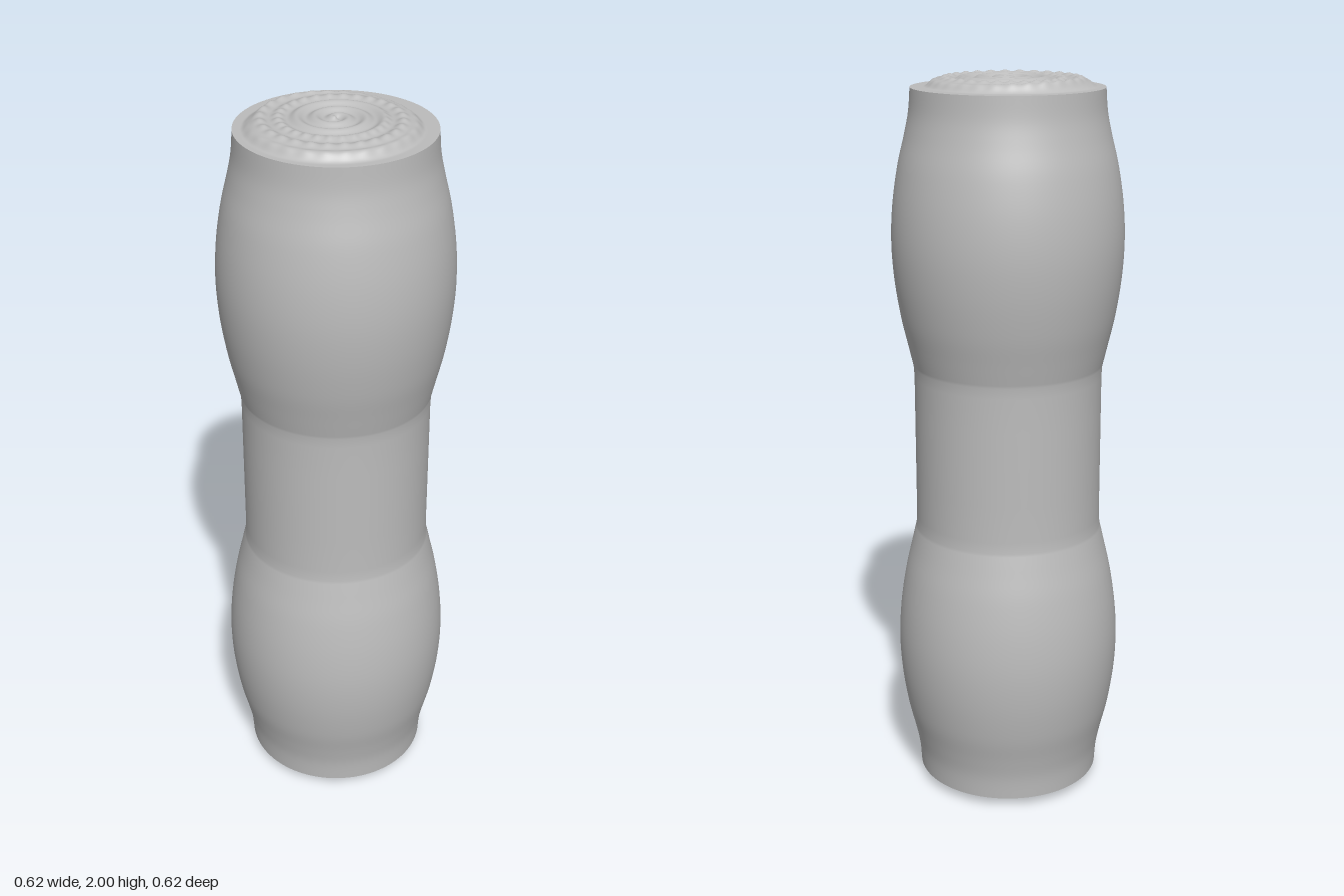
import * as THREE from 'three';
import { mergeVertices } from 'three/addons/utils/BufferGeometryUtils.js';

const RIM = 0.255, RIM_Y = 1.972;

// Height of the carved end at radius r and angle a: a raised disc with a spiral ridge that turns beaded
function reliefHeight(r, a) {
  const pitch = 0.045;
  const edge = 0.205 + 0.012 * Math.sin(a + 0.3);
  const plateau = 1 - THREE.MathUtils.smoothstep(r, edge - 0.012, edge + 0.022);
  const ridge = 0.5 + 0.5 * Math.cos(2 * Math.PI * (r / pitch + 0.2) - a);
  const beaded = THREE.MathUtils.smoothstep(r, 0.115, 0.14);
  const bead = 1 - beaded * (0.25 + 0.25 * Math.cos(28 * a));
  return RIM_Y + plateau * (0.019 + 0.009 * ridge * bead);
}

function carvedEnd() {
  let geo = new THREE.RingGeometry(0, RIM, 224, 72).rotateX(-Math.PI / 2);
  const p = geo.attributes.position;
  for (let i = 0; i < p.count; i++) {
    const x = p.getX(i), z = p.getZ(i);
    p.setY(i, reliefHeight(Math.hypot(x, z), Math.atan2(z, x)));
  }
  geo.deleteAttribute('normal');
  geo.deleteAttribute('uv');
  geo = mergeVertices(geo, 1e-5);
  geo.computeVertexNormals();
  return geo;
}

// One swelling of the handle, from the waist to the rim
function bulgeProfile() {
  const pts = [[0.258, 1.23], [0.272, 1.29], [0.29, 1.37], [0.305, 1.47], [0.311, 1.57],
    [0.306, 1.67], [0.291, 1.77], [0.272, 1.85], [0.26, 1.91], [RIM, RIM_Y]];
  const curve = new THREE.SplineCurve(pts.map(([r, y]) => new THREE.Vector2(r, y)));
  return curve.getPoints(44);
}

export function createModel() {
  const group = new THREE.Group();
  const grey = new THREE.MeshStandardMaterial({ color: 0xbcbcbc });
  grey.name = 'stone grey';
  const add = (name, geo) => {
    const mesh = new THREE.Mesh(geo, grey);
    mesh.name = name;
    group.add(mesh);
    return mesh;
  };

  // Body: two mirrored swellings joined by a straight waist
  const upper = bulgeProfile();
  const lower = upper.map(v => new THREE.Vector2(v.x, 2 - v.y)).reverse();
  const waist = [0.8, 0.9, 1, 1.1, 1.2].map(y => new THREE.Vector2(0.256, y));
  add('body', new THREE.LatheGeometry([...lower, ...waist, ...upper], 96));

  // Carved ends
  const end = carvedEnd();
  add('topEnd', end);
  const bottom = add('bottomEnd', end);
  bottom.rotation.x = Math.PI;
  bottom.position.y = 2;
  return group;
}
